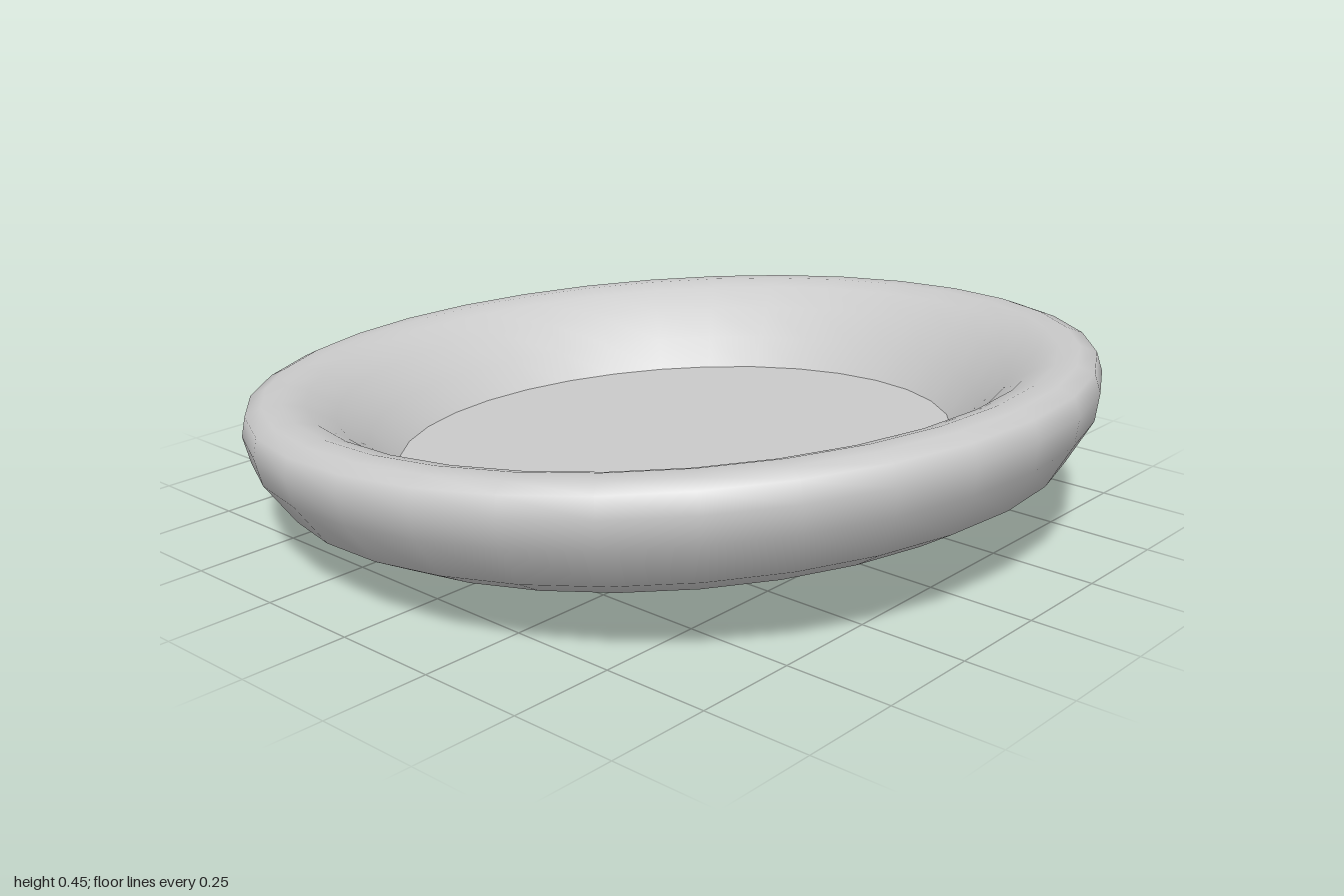
import * as THREE from 'three';

const SEGMENTS = 32;

export function createModel() {
  const grey = new THREE.MeshStandardMaterial({ color: 0xcccccc });
  grey.name = 'light grey';

  const model = new THREE.Group();
  model.name = 'model';

  // Dish, leaning up towards +x
  const dish = new THREE.Group();
  dish.name = 'dish';
  dish.rotation.z = THREE.MathUtils.degToRad(5);
  dish.position.set(0.0235, -0.001, 0);
  model.add(dish);

  // Rounded shell: underside, outer wall, rim, then down the inner wall
  const profile = [
    [0, 0.042], [0.27, 0.046], [0.5, 0.052], [0.68, 0.061], [0.828, 0.098],
    [0.92, 0.146], [0.984, 0.242], [0.997, 0.306], [0.986, 0.351],
    [0.948, 0.367], [0.9, 0.369], [0.85, 0.355], [0.785, 0.312],
    [0.715, 0.246], [0.655, 0.175],
  ].map(([r, y]) => new THREE.Vector2(r, y));
  const shell = new THREE.Mesh(new THREE.LatheGeometry(profile, SEGMENTS), grey);
  shell.name = 'shell';
  dish.add(shell);

  // Flat inner floor
  const floor = new THREE.Mesh(new THREE.CircleGeometry(0.655, SEGMENTS), grey);
  floor.name = 'floor';
  floor.rotation.x = -Math.PI / 2;
  floor.position.y = 0.175;
  dish.add(floor);

  return model;
}
